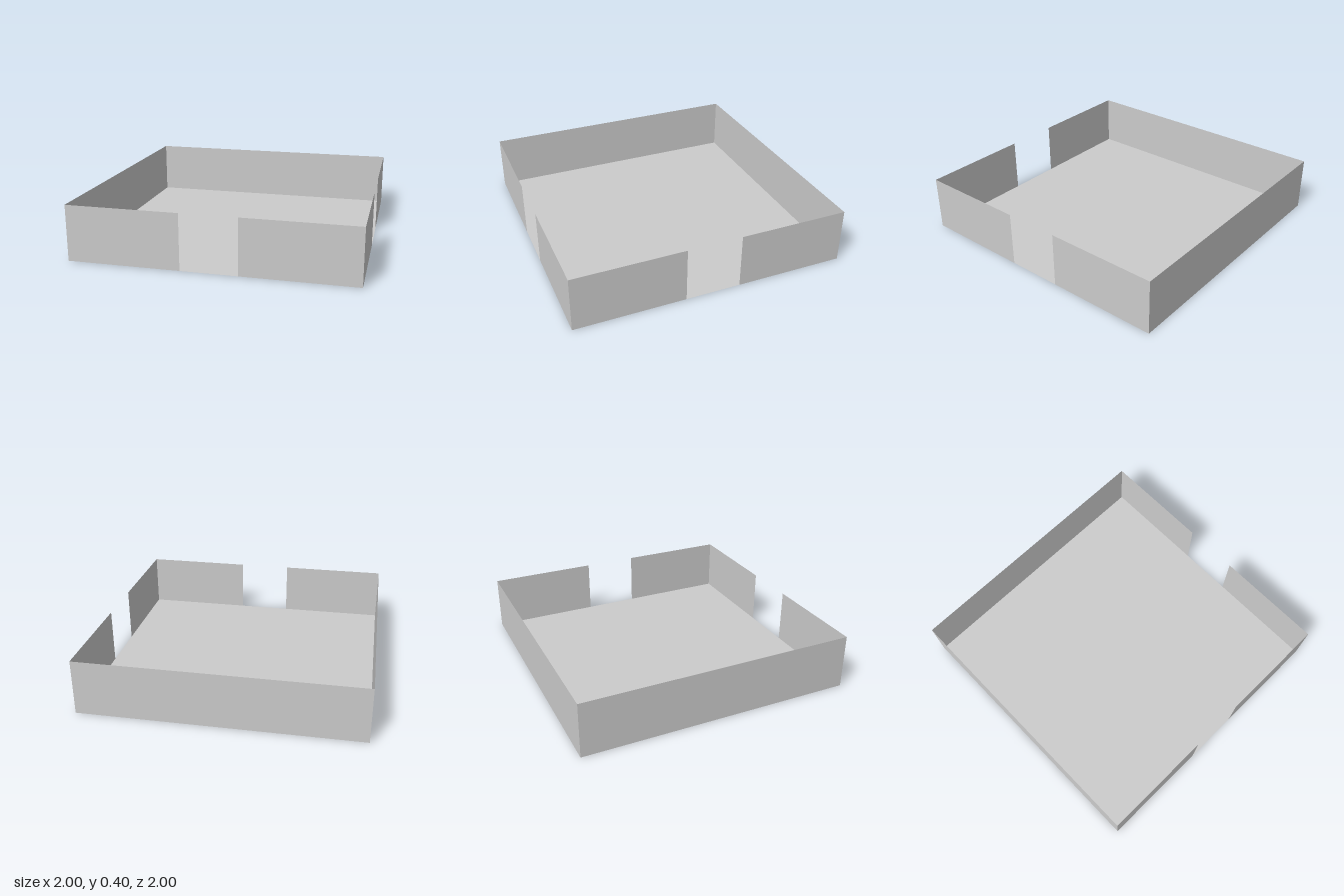
import * as THREE from 'three';

const SIZE = 2, HEIGHT = 0.4, GAP = 0.4;

export function createModel() {
  const model = new THREE.Group();
  model.name = 'walledRoom';
  const material = new THREE.MeshStandardMaterial({
    color: 0xcccccc, flatShading: true, side: THREE.DoubleSide,
  });

  // Thin floor sheet
  const floor = new THREE.Mesh(new THREE.PlaneGeometry(SIZE, SIZE), material);
  floor.name = 'floor';
  floor.rotation.x = -Math.PI / 2;
  model.add(floor);

  // A side of the room, turned about y; it is split in two when it has a doorway
  function addWall(name, angle, hasDoorway) {
    const wall = new THREE.Group();
    wall.name = name;
    const width = hasDoorway ? (SIZE - GAP) / 2 : SIZE;
    const centres = hasDoorway ? [-(GAP + width) / 2, (GAP + width) / 2] : [0];
    centres.forEach((x) => {
      const panel = new THREE.Mesh(new THREE.PlaneGeometry(width, HEIGHT), material);
      panel.name = 'wallPanel';
      panel.position.set(x, HEIGHT / 2, SIZE / 2);
      wall.add(panel);
    });
    wall.rotation.y = angle;
    model.add(wall);
  }

  // Doorways in the front and +x walls, solid walls behind them
  addWall('frontWall', 0, true);
  addWall('leftWall', Math.PI / 2, true);
  addWall('backWall', Math.PI, false);
  addWall('rightWall', -Math.PI / 2, false);

  return model;
}
